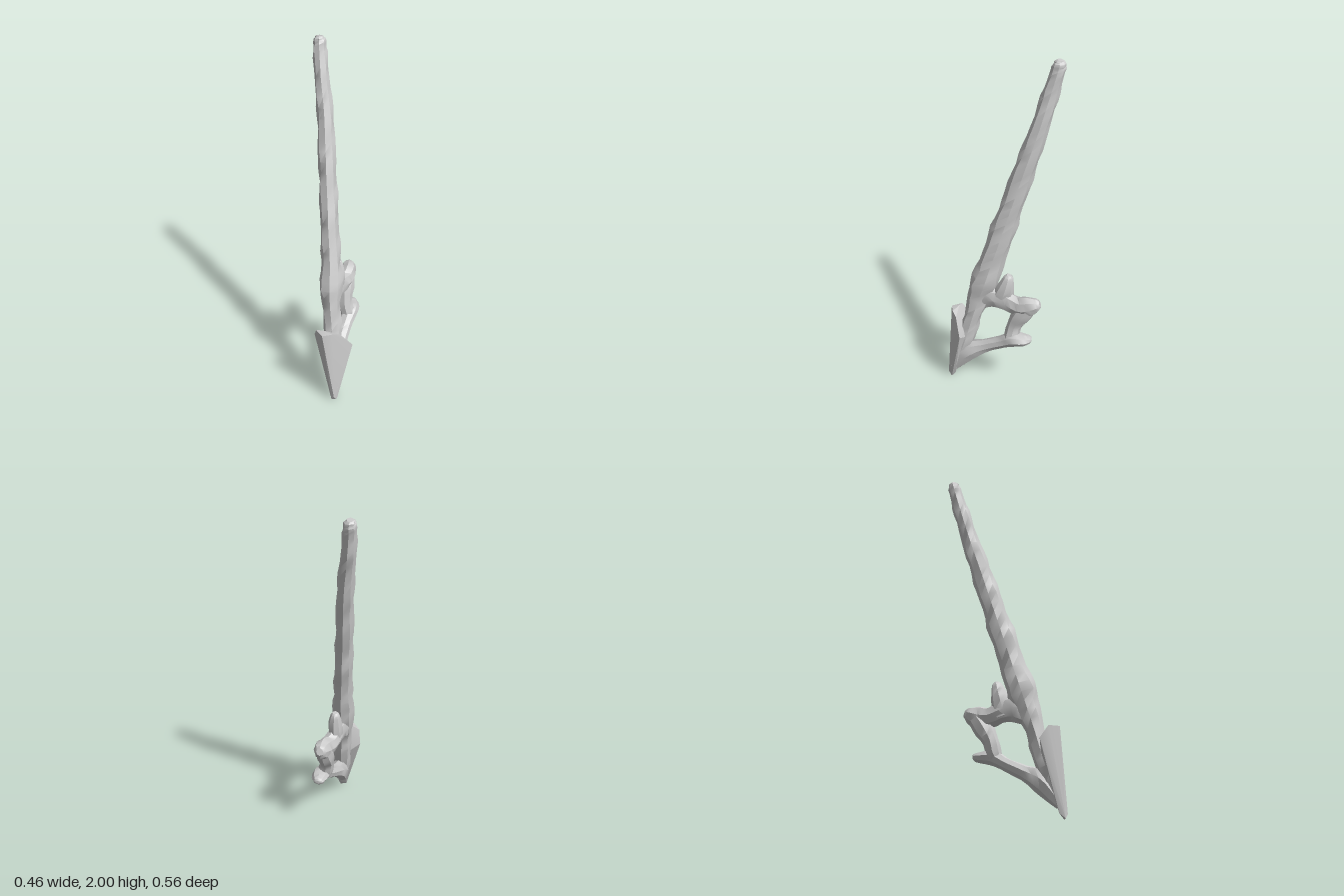
import * as THREE from 'three';
import { toCreasedNormals } from 'three/addons/utils/BufferGeometryUtils.js';
import { ConvexGeometry } from 'three/addons/geometries/ConvexGeometry.js';

const material = new THREE.MeshStandardMaterial({ color: 0xcccccc });

// The weapon lies in a diagonal upright plane: s runs along it, y up, t across it.
const place = (s, y, t) =>
  new THREE.Vector3((s + t) * Math.SQRT1_2, y, (t - s) * Math.SQRT1_2);

function part(name, geometry, crease = 0.6) {
  const mesh = new THREE.Mesh(toCreasedNormals(geometry, crease), material);
  mesh.name = name;
  return mesh;
}

// Organic limb swept through stations [s, y, t, half width, half thickness].
function limb(name, stations, steps, wobble = 0, sides = 8) {
  const path = new THREE.CatmullRomCurve3(stations.map(p => new THREE.Vector3(p[0], p[1], p[2])));
  const size = new THREE.CatmullRomCurve3(stations.map(p => new THREE.Vector3(p[3], p[4], 0)));
  const positions = [], index = [];
  const add = (s, y, t) => positions.push(...place(s, y, t).toArray());
  for (let i = 0; i <= steps; i++) {
    const u = i / steps, c = path.getPoint(u), r = size.getPoint(u), d = path.getTangent(u);
    const len = Math.hypot(d.x, d.y) || 1;
    const ps = d.y / len, py = -d.x / len;
    for (let j = 0; j < sides; j++) {
      const angle = (j / sides) * Math.PI * 2;
      // Uneven chipped edges
      const chip = 1 + wobble * (Math.sin(i * 1.35 + j * 1.9) + 0.6 * Math.sin(i * 2.3 - j * 2.7));
      const a = Math.cos(angle) * r.x * chip, b = Math.sin(angle) * r.y * chip;
      add(c.x + ps * a, c.y + py * a, c.z + b);
    }
  }
  for (let i = 0; i < steps; i++) {
    for (let j = 0; j < sides; j++) {
      const k = (j + 1) % sides;
      const a = i * sides + j, b = i * sides + k, c = a + sides, d = b + sides;
      index.push(a, c, b, b, c, d);
    }
  }
  // End caps
  for (const [row, flip] of [[0, false], [steps, true]]) {
    const c = path.getPoint(row / steps), centre = positions.length / 3;
    add(c.x, c.y, c.z);
    for (let j = 0; j < sides; j++) {
      const a = row * sides + j, b = row * sides + (j + 1) % sides;
      index.push(centre, ...(flip ? [b, a] : [a, b]));
    }
  }
  const geometry = new THREE.BufferGeometry();
  geometry.setAttribute('position', new THREE.Float32BufferAttribute(positions, 3));
  geometry.setIndex(index);
  return part(name, geometry);
}

export function createModel() {
  const group = new THREE.Group();
  group.name = 'boneSword';

  // Long tapering blade, running down through the grip
  group.add(limb('blade', [
    [-0.27, 0.14, 0.05, 0.04, 0.04],
    [-0.215, 0.3, 0.04, 0.055, 0.05],
    [-0.175, 0.45, 0.03, 0.05, 0.05],
    [-0.125, 0.62, 0.015, 0.07, 0.055],
    [-0.07, 0.8, 0.01, 0.07, 0.055],
    [-0.01, 1.0, -0.005, 0.07, 0.052],
    [0.05, 1.2, -0.02, 0.062, 0.05],
    [0.11, 1.4, -0.035, 0.06, 0.048],
    [0.172, 1.6, -0.05, 0.05, 0.045],
    [0.228, 1.8, -0.075, 0.045, 0.04],
    [0.265, 1.94, -0.088, 0.037, 0.036],
    [0.275, 1.98, -0.09, 0.034, 0.032],
    [0.279, 1.997, -0.092, 0.02, 0.018],
  ], 44, 0.07));

  // Pointed pommel with a raised horn and a wing on each side
  const pommel = [
    [-0.325, 0.03, 0.055], [-0.315, 0.005, 0.04], [-0.305, 0.005, 0.07],
    [-0.285, 0.03, 0.03], [-0.28, 0.04, 0.075],
    [-0.305, 0.475, -0.015], [-0.29, 0.48, 0.04], [-0.265, 0.465, 0.08],
    [-0.26, 0.48, -0.02], [-0.235, 0.37, 0.15], [-0.205, 0.4, -0.07],
    [-0.25, 0.47, -0.055], [-0.2, 0.3, 0.04],
  ].map(p => place(...p));
  group.add(part('pommel', new ConvexGeometry(pommel), 0.4));

  // Lower guard arm ending in a knob
  group.add(limb('lowerArm', [
    [-0.29, 0.08, 0.055, 0.03, 0.03],
    [-0.2, 0.2, 0.055, 0.065, 0.05],
    [-0.1, 0.26, 0.065, 0.04, 0.04],
    [0.0, 0.315, 0.085, 0.036, 0.04],
    [0.07, 0.36, 0.105, 0.042, 0.05],
    [0.13, 0.365, 0.11, 0.032, 0.045],
    [0.168, 0.368, 0.108, 0.022, 0.03],
    [0.178, 0.368, 0.107, 0.01, 0.015],
  ], 18, 0.03));

  // Upper guard arm ending in a broad prong
  group.add(limb('upperArm', [
    [-0.15, 0.54, 0.015, 0.05, 0.04],
    [-0.07, 0.595, 0.025, 0.075, 0.045],
    [0.01, 0.59, 0.04, 0.06, 0.045],
    [0.09, 0.57, 0.065, 0.06, 0.05],
    [0.15, 0.585, 0.08, 0.062, 0.05],
    [0.2, 0.605, 0.085, 0.042, 0.038],
    [0.22, 0.612, 0.085, 0.022, 0.02],
  ], 14, 0.03));

  // Short upright prong
  group.add(limb('uprightProng', [
    [-0.01, 0.56, 0.035, 0.06, 0.035],
    [0.01, 0.64, 0.037, 0.058, 0.042],
    [0.028, 0.71, 0.037, 0.04, 0.034],
    [0.036, 0.75, 0.035, 0.026, 0.024],
    [0.038, 0.762, 0.035, 0.014, 0.014],
  ], 8, 0.02));

  // Strut closing the guard ring
  group.add(limb('guardStrut', [
    [0.16, 0.59, 0.08, 0.05, 0.045],
    [0.115, 0.52, 0.075, 0.06, 0.05],
    [0.075, 0.44, 0.075, 0.042, 0.042],
    [0.06, 0.37, 0.09, 0.045, 0.045],
    [0.04, 0.33, 0.095, 0.025, 0.03],
  ], 10, 0.03));

  return group;
}
